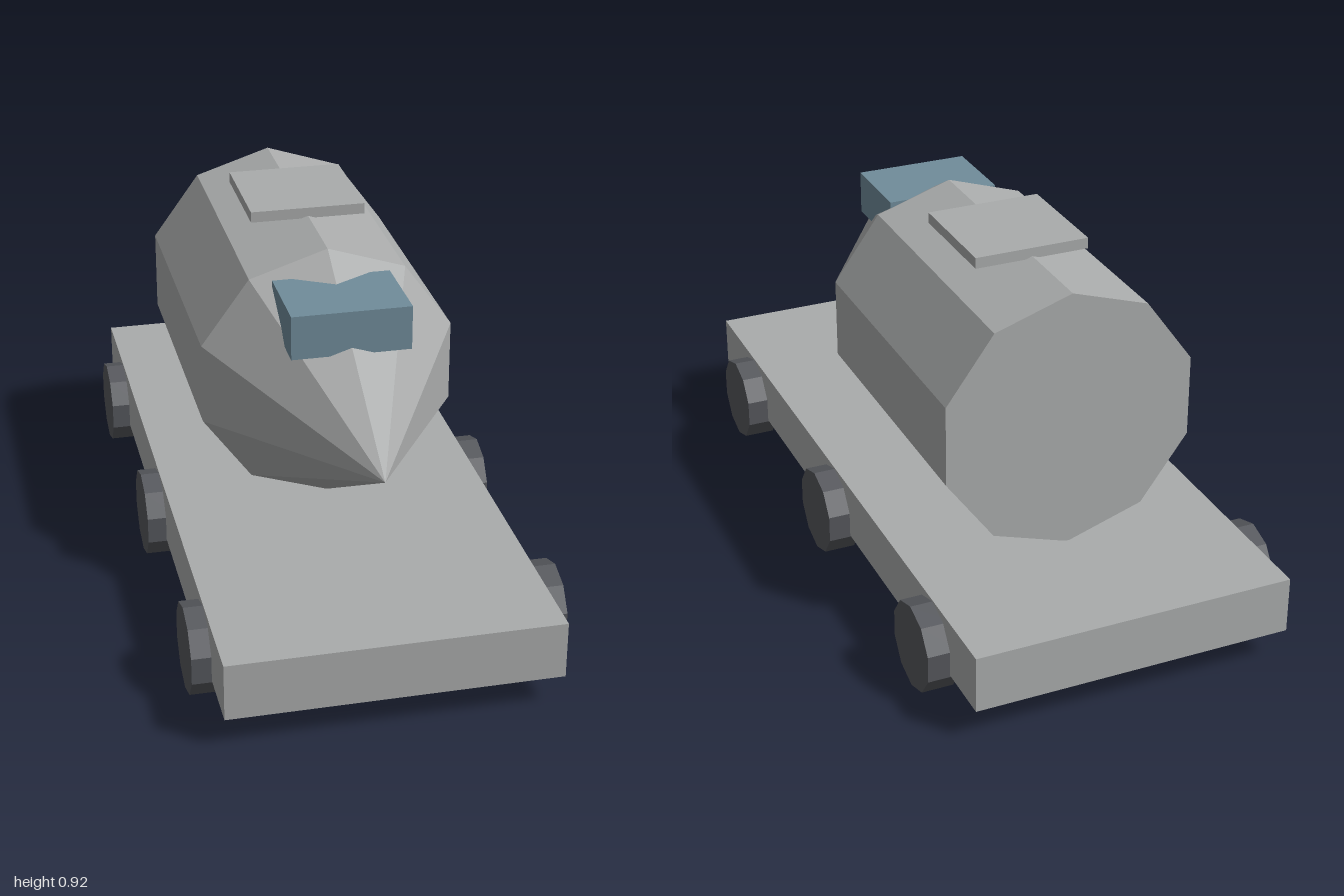
import * as THREE from 'three';

const mat = (name, color) => {
  const m = new THREE.MeshStandardMaterial({ color, flatShading: true });
  m.name = name;
  return m;
};

export function createModel() {
  const hullGrey = mat('hull grey', 0xaaacac);
  const glassBlue = mat('glass blue', 0x708c9a);
  const wheelDark = mat('wheel dark grey', 0x55575c);

  // The vehicle is built along +x, then turned on its stand
  const vehicle = new THREE.Group();
  vehicle.name = 'vehicle';
  vehicle.rotation.y = THREE.MathUtils.degToRad(-35);

  const add = (name, geometry, material, x, y, z) => {
    const mesh = new THREE.Mesh(geometry, material);
    mesh.name = name;
    mesh.position.set(x, y, z);
    vehicle.add(mesh);
    return mesh;
  };

  // Flat chassis
  add('chassis', new THREE.BoxGeometry(1.867, 0.146, 0.818), hullGrey, 0, 0.154, 0);

  // Ten-sided barrel hull and pointed nose, with a ridge along the top
  const R = 0.338, sides = 10, hullY = 0.563, off = -0.004;
  const barrel = new THREE.CylinderGeometry(R, R, 0.742, sides, 1, false, Math.PI / 2).rotateZ(-Math.PI / 2);
  add('hull', barrel, hullGrey, -0.193, hullY, off);
  const cone = new THREE.ConeGeometry(R, 0.593, sides, 1, true, Math.PI / 2).rotateZ(-Math.PI / 2);
  add('nose', cone, hullGrey, 0.4745, hullY, off);

  // Roof hatch and windshield
  add('roofHatch', new THREE.BoxGeometry(0.295, 0.028, 0.297), hullGrey, -0.192, 0.909, off);
  add('windshield', new THREE.BoxGeometry(0.222, 0.112, 0.297), glassBlue, 0.329, 0.79, off);

  // Three wheels on each side
  const wheel = new THREE.CylinderGeometry(0.112, 0.112, 0.08, 10).rotateX(Math.PI / 2);
  for (const [side, sign] of [['left', -1], ['right', 1]]) {
    ['rear', 'middle', 'front'].forEach((row, i) => {
      add(`${side}${row[0].toUpperCase()}${row.slice(1)}Wheel`, wheel, wheelDark,
        -0.005 + (i - 1) * 0.67, 0.112, off + sign * 0.421);
    });
  }

  const model = new THREE.Group();
  model.name = 'model';
  model.add(vehicle);
  return model;
}
